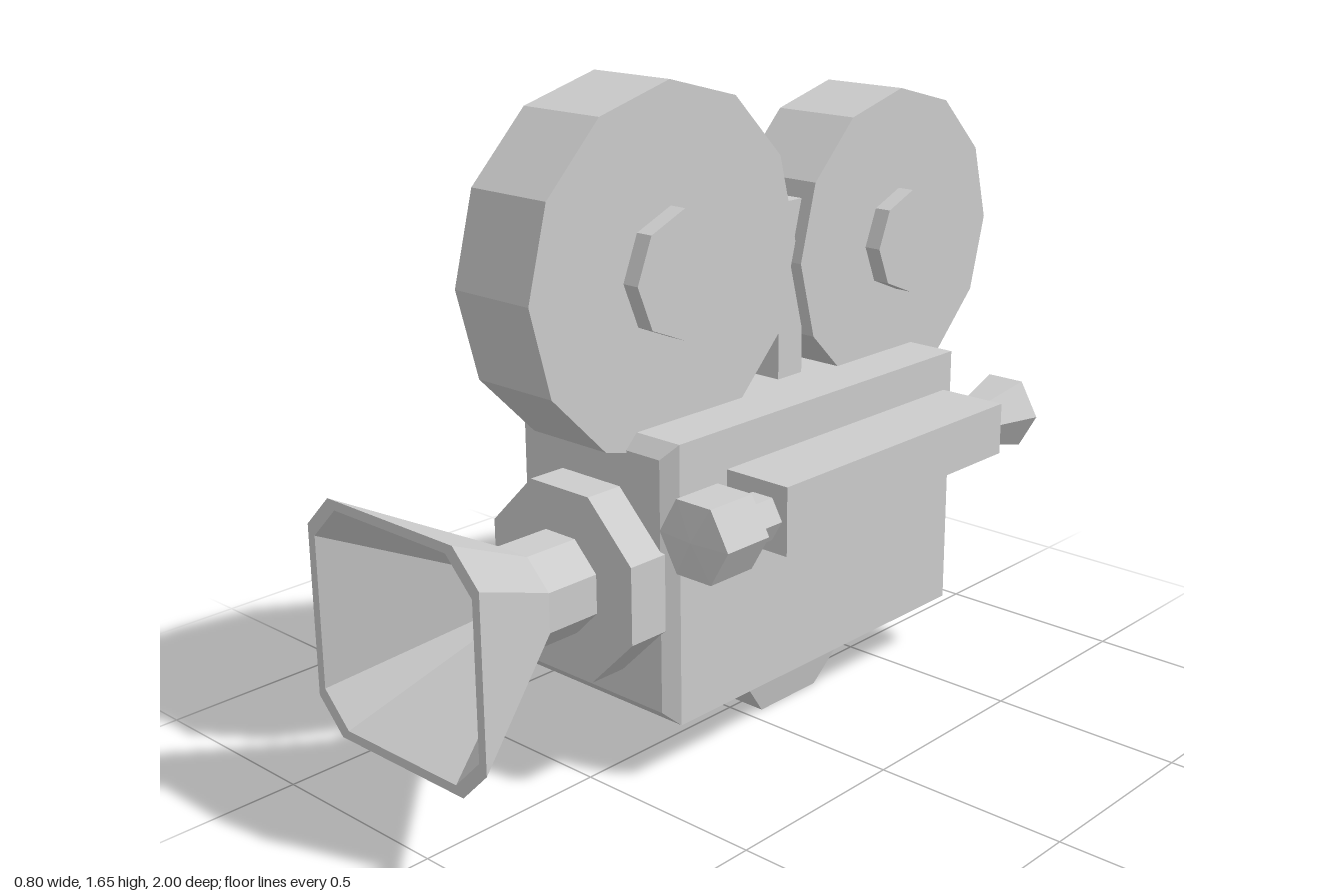
import * as THREE from 'three';

// Rectangle with optional cut corners, anticlockwise
function rect(hw, hh, cut = 0) {
  if (!cut) return [[hw, -hh], [hw, hh], [-hw, hh], [-hw, -hh]];
  return [[hw, cut - hh], [hw, hh - cut], [hw - cut, hh], [cut - hw, hh],
    [-hw, hh - cut], [-hw, cut - hh], [cut - hw, -hh], [hw - cut, -hh]];
}

// Regular polygon, anticlockwise
function ngon(n, r, turn = 0) {
  return Array.from({ length: n }, (_, i) => {
    const a = turn + (i / n) * Math.PI * 2;
    return [r * Math.cos(a), r * Math.sin(a)];
  });
}

// Skin a list of [z, outline] sections and cap both ends; each cap may rise to a centre point
function loft(sections, startTip = sections[0][0], endTip = sections.at(-1)[0]) {
  const pos = [];
  const rings = sections.map(([z, pts]) => pts.map(([x, y]) => [x, y, z]));
  const n = rings[0].length;
  const tri = (a, b, c) => pos.push(...a, ...b, ...c);
  for (let i = 0; i < n; i++) {
    const j = (i + 1) % n;
    for (let s = 0; s + 1 < rings.length; s++) {
      const a = rings[s], b = rings[s + 1];
      tri(a[i], a[j], b[j]);
      tri(a[i], b[j], b[i]);
    }
    tri([0, 0, startTip], rings[0][j], rings[0][i]);
    const last = rings.at(-1);
    tri([0, 0, endTip], last[i], last[j]);
  }
  const g = new THREE.BufferGeometry();
  g.setAttribute('position', new THREE.Float32BufferAttribute(pos, 3));
  g.computeVertexNormals();
  return g;
}

export function createModel() {
  const model = new THREE.Group();
  model.name = 'filmCamera';
  const grey = new THREE.MeshStandardMaterial({ color: 0xcccccc });
  grey.name = 'grey';

  function add(name, geometry, x, y, z) {
    const mesh = new THREE.Mesh(geometry, grey);
    mesh.name = name;
    mesh.position.set(x, y, z);
    model.add(mesh);
    return mesh;
  }

  // Body with bevelled front and back ends
  const cx = -0.075;
  add('body', loft([
    [-0.71, rect(0.225, 0.315)], [-0.675, rect(0.255, 0.35)],
    [0.37, rect(0.255, 0.35)], [0.405, rect(0.225, 0.315)],
  ]), cx, 0.5, 0);

  // Tapered foot
  add('foot', loft([[0, rect(0.175, 0.225)], [0.15, rect(0.145, 0.105)]]), cx, 0.15, -0.15)
    .rotation.x = Math.PI / 2;

  // Film reels with hubs showing on both sides
  const reels = [
    { name: 'frontReel', y: 1.207, z: 0.25, r: 0.44, hub: 0.155 },
    { name: 'rearReel', y: 1.145, z: -0.605, r: 0.393, hub: 0.135 },
  ];
  for (const { name, y, z, r, hub } of reels) {
    const disc = (n, radius, w) => loft([[-w, ngon(n, radius)], [w, ngon(n, radius)]]);
    add(name, disc(12, r, 0.12), cx, y, z).rotation.y = Math.PI / 2;
    add(name + 'Hub', disc(8, hub, 0.165), cx, y, z).rotation.y = Math.PI / 2;
  }
  add('reelBridge', new THREE.BoxGeometry(0.18, 0.5, 0.09), cx - 0.005, 1.05, -0.215);

  // Lens mount, barrel and hollow hood
  const flat = Math.cos(Math.PI / 8);
  const oct = (h) => ngon(8, h / flat, Math.PI / 8);
  add('lensMount', loft([[0.38, oct(0.232)], [0.507, oct(0.232)]]), cx, 0.49, 0);
  add('lensBarrel', loft([[0.5, oct(0.118)], [0.66, oct(0.118)]]), cx, 0.49, 0);
  add('lensHood', loft([
    [0.655, rect(0.118, 0.118, 0.068)], [1, rect(0.29, 0.29, 0.08)],
    [1, rect(0.267, 0.267, 0.08)], [0.69, rect(0.085, 0.085, 0.025)],
  ]), cx, 0.49, 0);

  // Viewfinder box with a stepped underside
  const side = new THREE.Shape([
    [-0.21, 0.58], [0.17, 0.58], [0.29, 0.615], [0.645, 0.615], [0.645, 0.75], [-0.21, 0.75],
  ].map(([a, b]) => new THREE.Vector2(a, b)));
  const box = new THREE.ExtrudeGeometry(side, { depth: 0.2, bevelEnabled: false });
  add('viewfinder', box, 0.165, 0, 0).rotation.y = Math.PI / 2;
  add('viewfinderTube', loft([[0.2, ngon(6, 0.06)], [0.32, ngon(6, 0.06)]]), 0.29, 0.662, 0);
  add('viewfinderLens', loft([[0.31, ngon(6, 0.104)], [0.447, ngon(6, 0.104)]], 0.31, 0.457),
    0.294, 0.667, 0);
  add('eyepiece', loft([[0.635, ngon(6, 0.06)], [0.79, ngon(6, 0.102)]], 0.635, 0.74),
    0.278, 0.682, 0).rotation.y = Math.PI;

  // Side door with its knob
  const door = add('sideDoor', loft([[0, rect(0.395, 0.24)], [0.025, rect(0.375, 0.22)]]),
    -0.33, 0.5, -0.16);
  door.rotation.y = -Math.PI / 2;
  const knob = add('doorKnob', loft([[0, ngon(8, 0.122)], [0.047, ngon(8, 0.096)]]),
    -0.354, 0.495, -0.15);
  knob.rotation.y = -Math.PI / 2;

  // Raised plate on the back
  add('backPlate', loft([[0, rect(0.135, 0.148)], [0.03, rect(0.112, 0.123)]]), -0.16, 0.393, -0.71)
    .rotation.y = Math.PI;

  return model;
}
